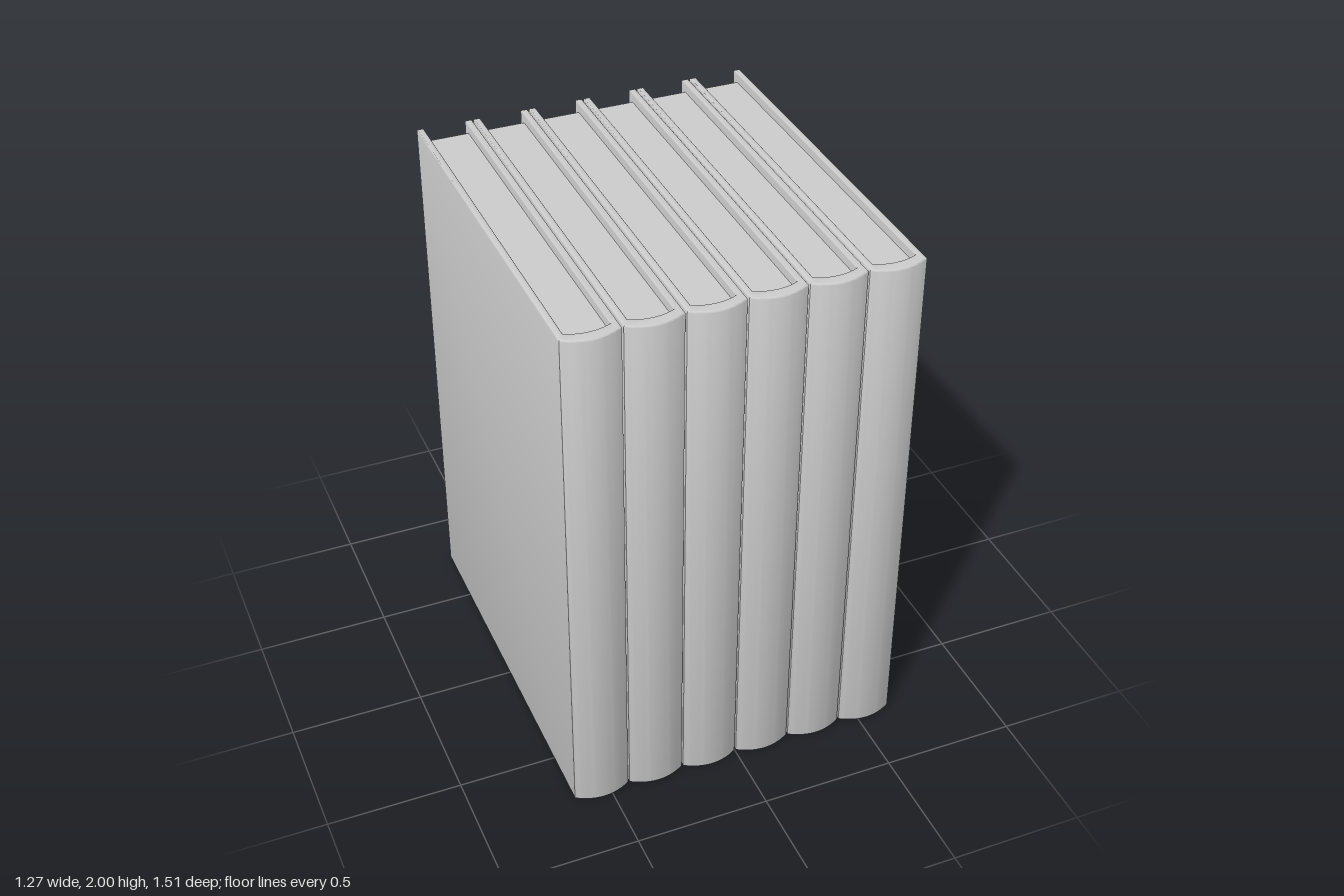
import * as THREE from 'three';
import { toCreasedNormals } from 'three/addons/utils/BufferGeometryUtils.js';

const COUNT = 6, PITCH = 0.2132;
const HALF = 0.1035;      // half thickness of a book
const INNER = 0.078;      // half thickness of the page block
const BACK = -0.755, PAGE_BACK = -0.72;
const SPINE_EDGE = 0.723, SPINE_BULGE = 0.032;
const PAGE_EDGE = 0.69, PAGE_BULGE = 0.018;
const HEIGHT = 2, MARGIN = 0.035, BEVEL = 0.006;

// Outlines are drawn in plan as (x, -z), then extruded upward
function extrudeUp(shape, bottom, top, bevel) {
  const geometry = new THREE.ExtrudeGeometry(shape, {
    depth: top - bottom - 2 * bevel,
    curveSegments: 16,
    bevelEnabled: bevel > 0,
    bevelThickness: bevel,
    bevelSize: bevel,
    bevelOffset: -bevel,
    bevelSegments: 3,
  });
  geometry.rotateX(-Math.PI / 2).translate(0, bottom + bevel, 0);
  return toCreasedNormals(geometry, 0.7);
}

// U-shaped case: two boards joined by a rounded spine
function coverShape() {
  const s = new THREE.Shape();
  s.moveTo(-HALF, -BACK);
  s.lineTo(-HALF, -SPINE_EDGE);
  s.quadraticCurveTo(0, -SPINE_EDGE - 2 * SPINE_BULGE, HALF, -SPINE_EDGE);
  s.lineTo(HALF, -BACK);
  s.lineTo(INNER, -BACK);
  s.lineTo(INNER, -PAGE_EDGE);
  s.quadraticCurveTo(0, -PAGE_EDGE - 2 * PAGE_BULGE, -INNER, -PAGE_EDGE);
  s.lineTo(-INNER, -BACK);
  s.closePath();
  return s;
}

// Page block, rounded where it meets the spine
function pagesShape() {
  const s = new THREE.Shape();
  s.moveTo(-INNER, -PAGE_BACK);
  s.lineTo(-INNER, -PAGE_EDGE);
  s.quadraticCurveTo(0, -PAGE_EDGE - 2 * PAGE_BULGE, INNER, -PAGE_EDGE);
  s.lineTo(INNER, -PAGE_BACK);
  s.closePath();
  return s;
}

export function createModel() {
  const model = new THREE.Group();
  model.name = 'bookRow';
  const material = new THREE.MeshStandardMaterial({ color: 0xcccccc });
  const coverGeometry = extrudeUp(coverShape(), 0, HEIGHT, BEVEL);
  const pagesGeometry = extrudeUp(pagesShape(), MARGIN, HEIGHT - MARGIN, 0);

  // Row of identical upright books with narrow gaps
  for (let i = 0; i < COUNT; i++) {
    const book = new THREE.Group();
    book.name = `book${i + 1}`;
    const cover = new THREE.Mesh(coverGeometry, material);
    cover.name = 'cover';
    const pages = new THREE.Mesh(pagesGeometry, material);
    pages.name = 'pages';
    book.add(cover, pages);
    book.position.x = (i - (COUNT - 1) / 2) * PITCH;
    model.add(book);
  }
  return model;
}
